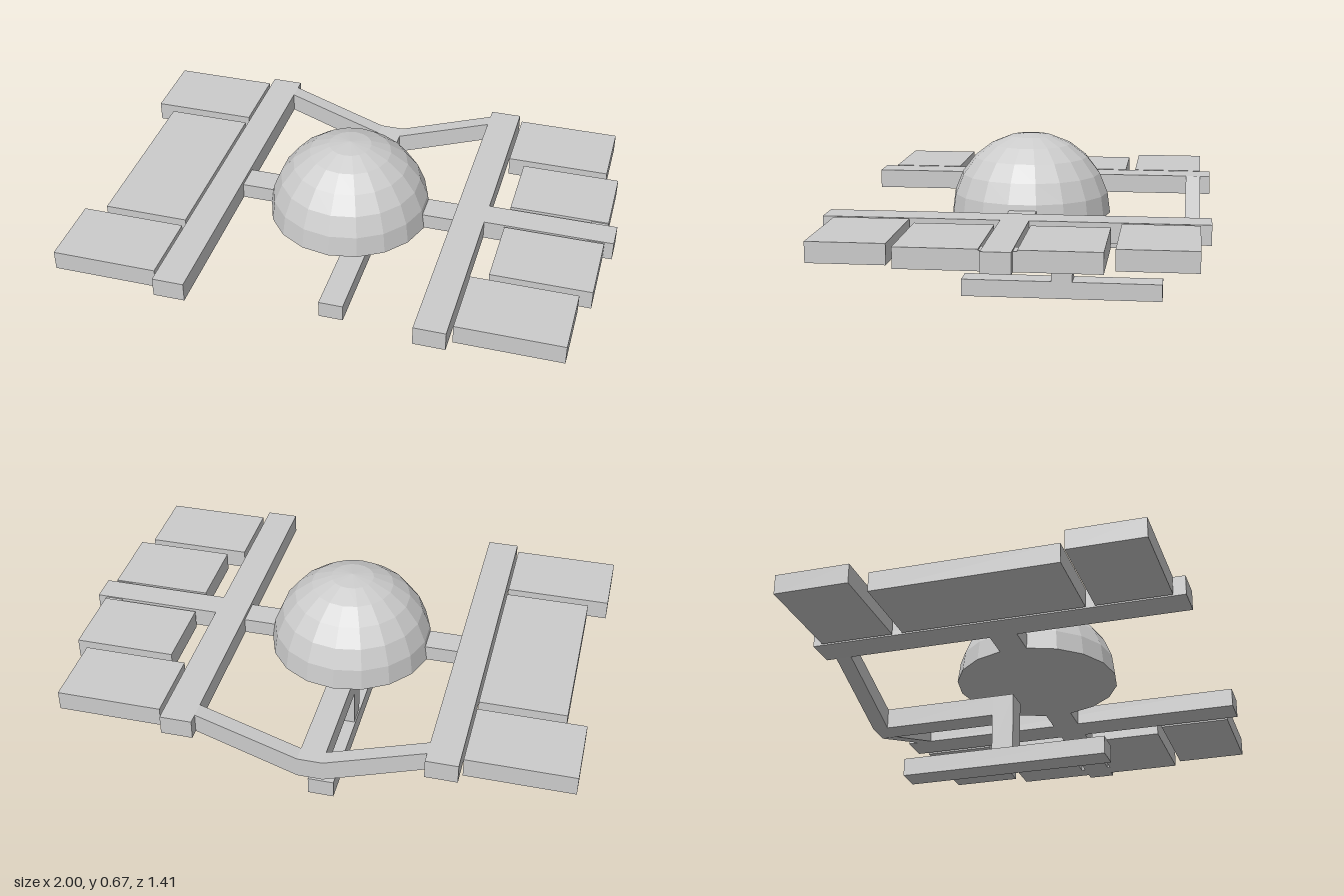
import * as THREE from 'three';

export function createModel() {
  const model = new THREE.Group();
  const material = new THREE.MeshStandardMaterial({ color: 0xcccccc, flatShading: true });

  const add = (name, geometry) => {
    const mesh = new THREE.Mesh(geometry, material);
    mesh.name = name;
    model.add(mesh);
    return mesh;
  };
  // Box given by its limits on each axis
  const box = (name, [x0, x1], [y0, y1], [z0, z1]) =>
    add(name, new THREE.BoxGeometry(x1 - x0, y1 - y0, z1 - z0))
      .position.set((x0 + x1) / 2, (y0 + y1) / 2, (z0 + z1) / 2);

  const deck = [0.35, 0.425];

  // Faceted half dome with a closed underside
  const radius = 0.315, sides = 18;
  add('dome', new THREE.SphereGeometry(radius, sides, 6, Math.PI / 2, Math.PI * 2, 0, Math.PI / 2))
    .position.set(-0.04, 0.35, 0);
  const base = add('domeBase', new THREE.CircleGeometry(radius, sides, Math.PI / 2));
  base.rotation.x = Math.PI / 2;
  base.position.set(-0.04, 0.35, 0);

  // Long side rails
  box('rightRail', [-0.59, -0.47], deck, [-0.71, 0.705]);
  box('leftRail', [0.385, 0.505], deck, [-0.71, 0.705]);

  // Cross beam through the dome, running out past the left rail
  box('crossBeam', [-0.47, 0.385], [0.35, 0.41], [-0.055, 0.05]);
  box('outerBeam', [0.505, 1], deck, [-0.055, 0.05]);
  box('beamCollar', [0.9, 0.965], [0.35, 0.42], [-0.07, 0.06]);

  // Flat panels outside the rails: x limits, z limits
  const panels = [
    ['rightRearPanel', [-1, -0.6], [-0.67, -0.39]],
    ['rightMiddlePanel', [-0.925, -0.6], [-0.35, 0.345]],
    ['rightFrontPanel', [-1, -0.6], [0.38, 0.66]],
    ['leftRearPanel', [0.52, 0.915], [-0.67, -0.39]],
    ['leftInnerRearPanel', [0.585, 0.965], [-0.355, -0.07]],
    ['leftInnerFrontPanel', [0.585, 0.965], [0.06, 0.35]],
    ['leftFrontPanel', [0.52, 0.92], [0.38, 0.66]],
  ];
  for (const [name, x, z] of panels) box(name, x, deck, z);

  // V-shaped rear brace hanging between the rails
  const outline = [
    [-0.47, 0.35], [-0.09, 0.215], [0.005, 0.215], [0.385, 0.35],
    [0.385, 0.425], [0.005, 0.295], [-0.09, 0.295], [-0.47, 0.425],
  ].map(([x, y]) => new THREE.Vector2(x, y));
  add('rearBrace', new THREE.ExtrudeGeometry(new THREE.Shape(outline), { depth: 0.06, bevelEnabled: false }))
    .position.z = -0.67;

  // Arm, post and skid below the dome
  box('lowerArm', [-0.09, 0.005], [0.215, 0.295], [-0.61, -0.17]);
  box('post', [-0.09, 0.005], [0.07, 0.295], [-0.17, -0.085]);
  box('skid', [-0.095, 0.005], [0, 0.07], [-0.53, 0.28]);

  return model;
}
